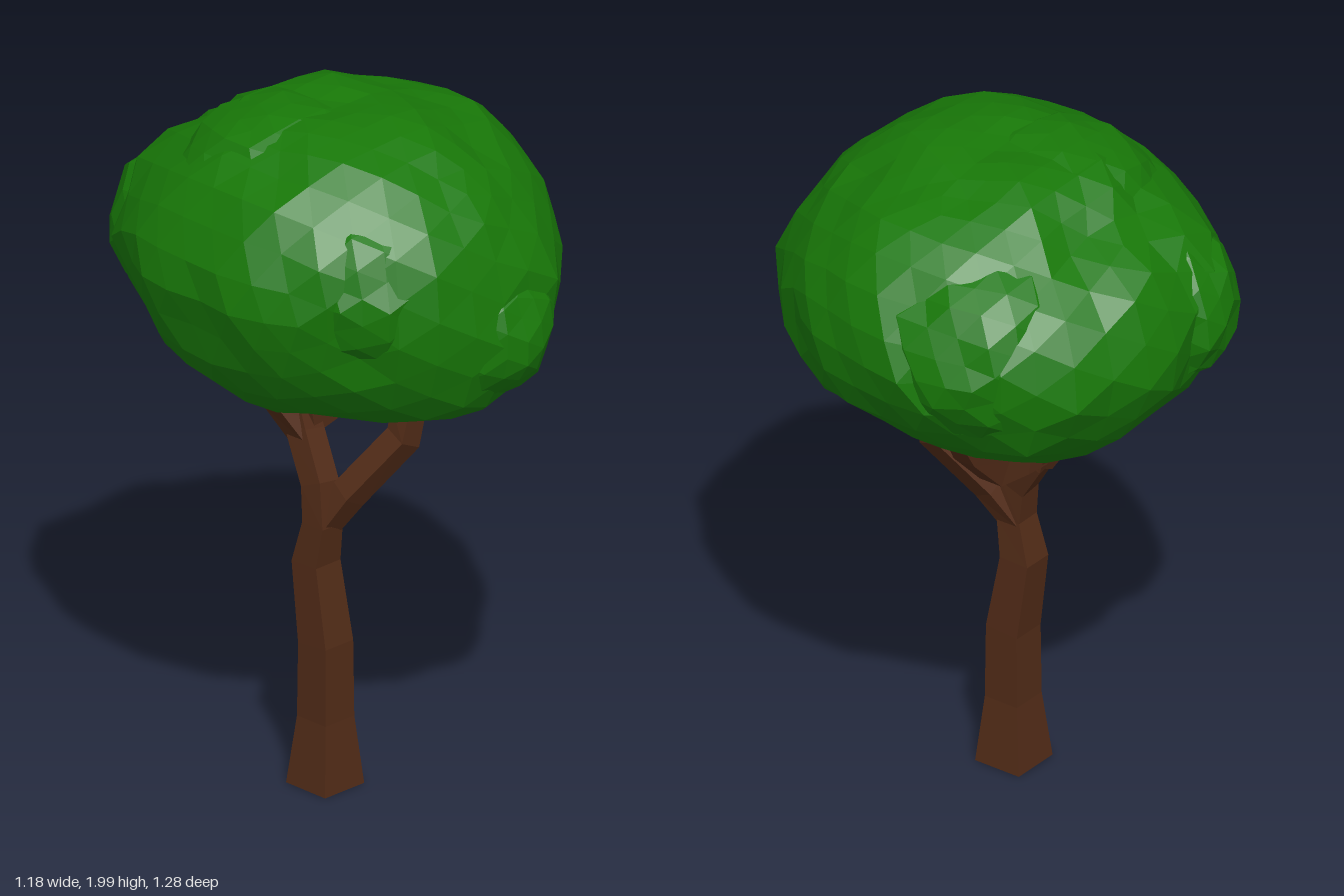
import * as THREE from 'three';
import { mergeVertices } from 'three/addons/utils/BufferGeometryUtils.js';

const bark = new THREE.MeshStandardMaterial({ color: 0x512b17, flatShading: true });
const leaf = new THREE.MeshStandardMaterial({ color: 0x187808, flatShading: true });

// Square-section limb along rings of [x, y, z, halfWidth]
function limb(name, rings) {
  const pts = rings.map(r => new THREE.Vector3(r[0], r[1], r[2]));
  const pos = [], idx = [], n = rings.length;
  pts.forEach((p, i) => {
    const t = pts[Math.min(i + 1, n - 1)].clone().sub(pts[Math.max(i - 1, 0)]).normalize();
    const u = t.clone().cross(new THREE.Vector3(0, 0, 1)).normalize();
    const v = u.clone().cross(t);
    for (const [a, b] of [[1, 1], [1, -1], [-1, -1], [-1, 1]]) {
      const q = p.clone().addScaledVector(u, a * rings[i][3]).addScaledVector(v, b * rings[i][3]);
      pos.push(q.x, q.y, q.z);
    }
  });
  for (let i = 0; i < n - 1; i++) for (let k = 0; k < 4; k++) {
    const a = i * 4 + k, b = i * 4 + (k + 1) % 4;
    idx.push(a, b, a + 4, b, b + 4, a + 4);
  }
  const e = (n - 1) * 4;
  idx.push(0, 2, 1, 0, 3, 2, e, e + 1, e + 2, e, e + 2, e + 3);
  const g = new THREE.BufferGeometry();
  g.setAttribute('position', new THREE.Float32BufferAttribute(pos, 3));
  g.setIndex(idx);
  g.computeVertexNormals();
  const m = new THREE.Mesh(g, bark);
  m.name = name;
  return m;
}

// Closed outline -> function giving its radius at an angle
function outline(points) {
  const polar = points.map(([x, y]) => [Math.atan2(y, x), Math.hypot(x, y)]).sort((a, b) => a[0] - b[0]);
  const first = polar[0], last = polar[polar.length - 1];
  polar.unshift([last[0] - 2 * Math.PI, last[1]]);
  polar.push([first[0] + 2 * Math.PI, first[1]]);
  return (x, y) => {
    const a = Math.atan2(y, x);
    let i = 1;
    while (i < polar.length - 1 && polar[i][0] < a) i++;
    const [p, q] = [polar[i - 1], polar[i]];
    return p[1] + (q[1] - p[1]) * (a - p[0]) / (q[0] - p[0] || 1);
  };
}

const CY = 1.565, R = [0.6, 0.43, 0.64];
const frontOutline = outline([[-.6, 1.58], [-.5, 1.83], [-.4, 1.9], [-.28, 1.97], [-.16, 2], [-.03, 1.97], [.1, 1.985],
  [.22, 1.95], [.42, 1.89], [.5, 1.8], [.6, 1.6], [.55, 1.44], [.45, 1.31], [.27, 1.2], [.05, 1.15], [-.15, 1.13],
  [-.45, 1.25], [-.52, 1.33], [-.56, 1.5]].map(([x, y]) => [x, y - CY]));
const sideOutline = outline([[.64, 1.45], [.6, 1.6], [.47, 1.85], [.38, 1.9], [.3, 1.97], [0, 1.98], [-.1, 2], [-.25, 1.97],
  [-.37, 1.85], [-.55, 1.79], [-.62, 1.68], [-.64, 1.5], [-.58, 1.38], [-.45, 1.25], [-.35, 1.18], [-.05, 1.18],
  [.13, 1.14], [.53, 1.23], [.6, 1.35]].map(([z, y]) => [z, y - CY]));
const topOutline = outline([[-.2, -.64], [-.12, -.62], [.1, -.6], [.32, -.54], [.42, -.48], [.52, -.21], [.595, -.13],
  [.59, .02], [.53, .22], [.45, .35], [.27, .53], [.2, .6], [.03, .64], [-.08, .57], [-.18, .6], [-.28, .56], [-.36, .43],
  [-.48, .35], [-.58, .16], [-.57, 0], [-.6, -.18], [-.5, -.34], [-.34, -.55]]);

// Ratio of an outline to the plain ellipse in the same direction
const ratio = (f, a, b, ra, rb) => {
  const l = Math.hypot(a, b);
  return l < 1e-4 ? 1 : f(a, b) * Math.hypot(a / l / ra, b / l / rb);
};
const bumps = (x, y, z) =>
  Math.sin(13 * x + 5 * y + 1) * Math.sin(11 * y - 6 * z + 2) * Math.sin(12 * z + 7 * x)
  + 0.6 * Math.sin(41 * x + 3) * Math.sin(37 * y + 1) * Math.sin(43 * z);

// Swelling of each corner of the crown, keyed by the signs of x, y, z
const corners = { '+++': -.05, '++-': -.03, '-++': .03, '-+-': .01, '+--': .02, '--+': -.03, '+-+': 0, '---': 0 };
const swell = v => corners[[v.x, v.y, v.z].map(c => (c < 0 ? '-' : '+')).join('')] * 5.2 * Math.abs(v.x * v.y * v.z);

// Faceted ball whose vertices are moved by a rule
function foliage(name, detail, move) {
  let g = new THREE.IcosahedronGeometry(1, detail);
  g.deleteAttribute('normal');
  g.deleteAttribute('uv');
  g = mergeVertices(g);
  const p = g.attributes.position, v = new THREE.Vector3();
  for (let i = 0; i < p.count; i++) {
    move(v.fromBufferAttribute(p, i));
    p.setXYZ(i, v.x, v.y, v.z);
  }
  g.computeVertexNormals();
  const m = new THREE.Mesh(g, leaf);
  m.name = name;
  return m;
}

export function createModel() {
  const tree = new THREE.Group();
  tree.name = 'tree';

  // Trunk and forked branches
  tree.add(
    limb('trunk', [[-.11, 0, .02, .075], [-.11, .2, .022, .055], [-.11, .42, .022, .053], [-.11, .65, -.015, .047],
      [-.112, .77, .012, .039], [-.105, .88, -.005, .037], [-.08, 1, -.085, .037], [-.075, 1.05, -.105, .034]]),
    limb('frontBranch', [[-.11, .75, .005, .032], [-.07, .86, .07, .036], [.03, 1.03, .18, .036], [.048, 1.12, .185, .034],
      [.05, 1.3, .19, .028]]),
    limb('rightBranch', [[-.08, .99, -.085, .034], [-.13, 1.1, -.14, .036], [-.21, 1.19, -.22, .034], [-.28, 1.3, -.28, .028]]),
    limb('leftBranch', [[-.08, 1.03, -.09, .034], [.02, 1.05, -.1, .036], [.13, 1.065, -.1, .036], [.26, 1.19, -.115, .034],
      [.34, 1.3, -.13, .028]])
  );

  // Main crown: an ellipsoid shaped by three outlines
  tree.add(foliage('crown', 5, v => {
    const base = 1 / Math.hypot(v.x / R[0], v.y / R[1], v.z / R[2]);
    const d = v.clone().multiplyScalar(base);
    const w = [d.z, d.x, d.y].map((c, i) => 1 / ((c / R[[2, 0, 1][i]]) ** 2 + 0.015));
    const k = (w[0] * ratio(frontOutline, d.x, d.y, R[0], R[1]) + w[1] * ratio(sideOutline, d.z, d.y, R[2], R[1])
      + w[2] * ratio(topOutline, d.x, d.z, R[0], R[2])) / (w[0] + w[1] + w[2]);
    const s = 0.99 + swell(v) + 0.03 * bumps(d.x, d.y, d.z);
    v.copy(d).multiplyScalar(k * s);
    v.y += CY;
  }));

  // Overlapping clumps that break up the crown: centre, radii
  const clumps = [
    [[-.19, 1.61, .24], [.28, .27, .3]],
    [[.05, 1.45, .38], [.24, .23, .26]],
    [[-.14, 1.79, -.08], [.3, .205, .3]],
    [[.27, 1.58, -.17], [.3, .28, .3]],
    [[-.2, 1.56, -.26], [.25, .28, .38]]
  ];
  clumps.forEach(([c, r], i) => tree.add(foliage('clump' + (i + 1), 3, v => {
    const s = 1 + 0.06 * bumps(v.x * .4 + i, v.y * .4, v.z * .4 + i);
    v.set(c[0] + v.x * r[0] * s, c[1] + v.y * r[1] * s, c[2] + v.z * r[2] * s);
  })));
  return tree;
}
